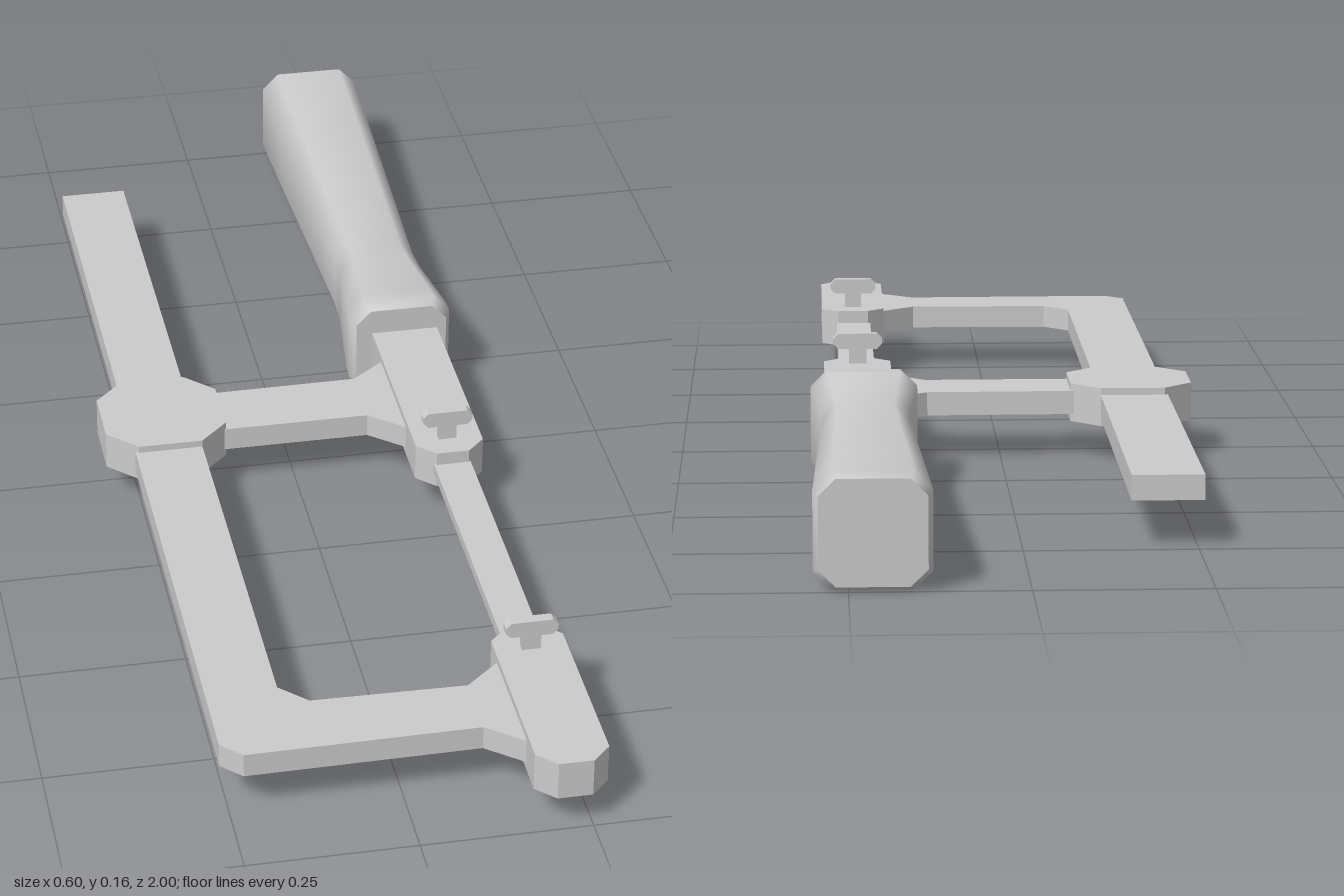
import * as THREE from 'three';

const mat = new THREE.MeshStandardMaterial({ color: 0xcccccc });

// Flat outline in (x, z), raised from y0 to y1
function plate(name, pts, y0, y1) {
  const shape = new THREE.Shape(pts.map(([x, z]) => new THREE.Vector2(x, -z)));
  const geo = new THREE.ExtrudeGeometry(shape, { depth: y1 - y0, bevelEnabled: false });
  geo.rotateX(-Math.PI / 2).translate(0, y0, 0);
  const mesh = new THREE.Mesh(geo, mat);
  mesh.name = name;
  return mesh;
}

// Rectangle with cut corners
function chamfered(a0, a1, b0, b1, c) {
  return [[a0 + c, b0], [a1 - c, b0], [a1, b0 + c], [a1, b1 - c],
    [a1 - c, b1], [a0 + c, b1], [a0, b1 - c], [a0, b0 + c]];
}

// Handle: cut-corner square section swept along z, smooth sides, flat ends
function handle(cx, cy) {
  const rings = [[-1, 0.075, 0.024], [-0.985, 0.082, 0.026], [-0.8, 0.077, 0.025],
    [-0.6, 0.071, 0.024], [-0.4, 0.065, 0.022], [-0.35, 0.067, 0.022],
    [-0.22, 0.081, 0.026], [-0.19, 0.082, 0.026], [-0.175, 0.074, 0.024]];
  const pos = [], index = [];
  const addRing = ([z, h, c]) => chamfered(-h, h, -h, h, c)
    .forEach(([x, y]) => pos.push(cx + x, cy + y, z));
  rings.forEach(addRing);
  for (let r = 0; r < rings.length - 1; r++) {
    for (let i = 0; i < 8; i++) {
      const a = r * 8 + i, b = r * 8 + (i + 1) % 8;
      index.push(a, b, b + 8, a, b + 8, a + 8);
    }
  }
  const back = pos.length / 3, front = back + 8;
  addRing(rings[0]);
  addRing(rings[rings.length - 1]);
  for (let i = 1; i < 7; i++) {
    index.push(back, back + i + 1, back + i);
    index.push(front, front + i, front + i + 1);
  }
  const geo = new THREE.BufferGeometry();
  geo.setAttribute('position', new THREE.Float32BufferAttribute(pos, 3));
  geo.setIndex(index);
  geo.computeVertexNormals();
  const mesh = new THREE.Mesh(geo, mat);
  mesh.name = 'handle';
  return mesh;
}

// Thumb screw: thin stem with a wide cut-corner grip
function thumbScrew(name, z) {
  const group = new THREE.Group();
  group.name = name;
  const stem = new THREE.Mesh(new THREE.BoxGeometry(0.028, 0.04, 0.014), mat);
  stem.name = 'screwStem';
  stem.position.set(0.221, 0.127, z);
  const outline = chamfered(0.182, 0.26, 0.142, 0.167, 0.008).map(([x, y]) => new THREE.Vector2(x, y));
  const geo = new THREE.ExtrudeGeometry(new THREE.Shape(outline), { depth: 0.016, bevelEnabled: false });
  const grip = new THREE.Mesh(geo, mat);
  grip.name = 'screwGrip';
  grip.position.z = z - 0.008;
  group.add(stem, grip);
  return group;
}

export function createModel() {
  const model = new THREE.Group();
  const low = 0.07, high = 0.107, clampLow = 0.058, clampHigh = 0.118;

  // L-shaped frame: long rail and front arm flaring into the front clamp
  model.add(plate('frame', [
    [-0.26, -0.73], [-0.155, -0.73], [-0.155, 0.735], [-0.115, 0.775], [0.115, 0.78],
    [0.17, 0.732], [0.17, 0.927], [0.115, 0.882], [-0.23, 0.885], [-0.26, 0.855],
  ], low, high));

  // Sliding arm joining the rail to the rear clamp
  model.add(plate('slidingArm', [
    [-0.15, -0.06], [0.115, -0.062], [0.17, -0.105], [0.17, 0.095], [0.115, 0.048], [-0.15, 0.048],
  ], low, high));
  model.add(plate('slider', chamfered(-0.3, -0.11, -0.1, 0.09, 0.045), clampLow, clampHigh));

  // Clamps holding the blade
  model.add(plate('frontClamp', chamfered(0.168, 0.275, 0.667, 1, 0.028), clampLow, clampHigh));
  model.add(plate('rearClamp', [
    [0.168, -0.19], [0.275, -0.19], [0.275, 0.165], [0.247, 0.193], [0.196, 0.193], [0.168, 0.165],
  ], clampLow, clampHigh));

  // Blade
  model.add(plate('blade', [[0.192, 0.15], [0.25, 0.15], [0.25, 0.7], [0.192, 0.7]], 0.08, 0.097));

  model.add(thumbScrew('rearThumbScrew', 0.147), thumbScrew('frontThumbScrew', 0.718));
  model.add(handle(0.216, 0.085));
  return model;
}
